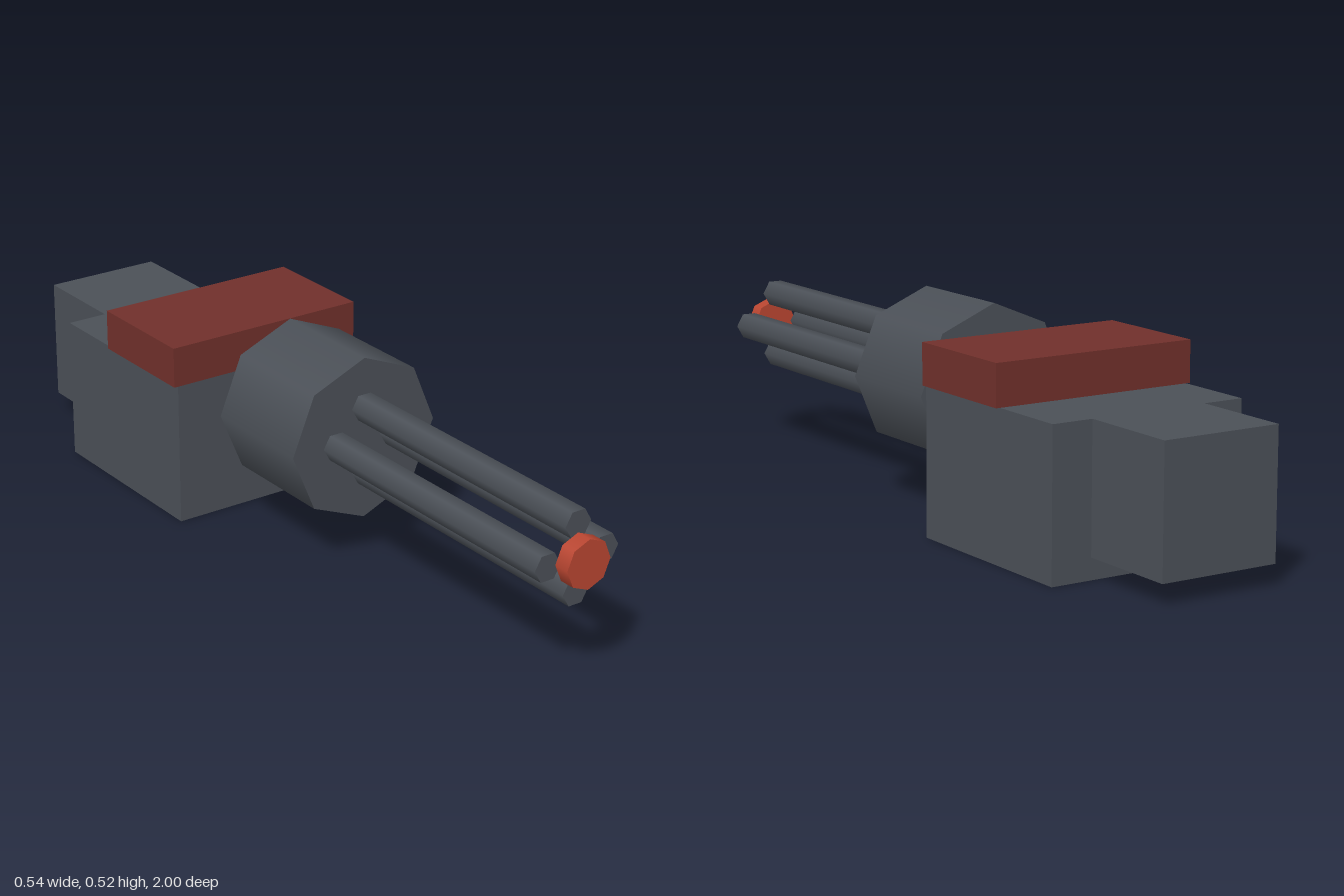
import * as THREE from 'three';

const steel = new THREE.MeshStandardMaterial({ color: 0x4b5057 });
const darkRed = new THREE.MeshStandardMaterial({ color: 0x70302b });
const brightRed = new THREE.MeshStandardMaterial({ color: 0xba4631 });

const AXIS_Y = 0.31; // height of the barrel axis

export function createModel() {
  const model = new THREE.Group();
  model.name = 'rotaryGun';

  const add = (name, geometry, material) => {
    const mesh = new THREE.Mesh(geometry, material);
    mesh.name = name;
    model.add(mesh);
    return mesh;
  };

  // Box centred on x, given by its width and its y and z ranges
  const box = (name, width, y0, y1, z0, z1, material) =>
    add(name, new THREE.BoxGeometry(width, y1 - y0, z1 - z0), material)
      .position.set(0, (y0 + y1) / 2, (z0 + z1) / 2);

  // Prism along z with smooth sides; turn sets where its corners fall
  const rod = (name, radius, sides, x, y, z0, z1, turn, material) => {
    const geometry = new THREE.CylinderGeometry(radius, radius, z1 - z0, sides);
    geometry.rotateY(turn).rotateX(Math.PI / 2);
    add(name, geometry, material).position.set(x, y, (z0 + z1) / 2);
  };

  // Receiver, rear block and top cover
  box('receiver', 0.516, 0, 0.363, -0.74, -0.227, steel);
  box('rearBlock', 0.306, 0.052, 0.363, -1, -0.74, steel);
  box('topCover', 0.537, 0.363, 0.465, -0.535, -0.227, darkRed);

  // Octagonal hub, floating in front of the receiver
  rod('barrelHub', 0.206, 8, 0, AXIS_Y, -0.12, 0.185, 0, steel);

  // Four hexagonal barrels around the axis
  for (let i = 0; i < 4; i++) {
    const a = (i * Math.PI) / 2;
    rod('barrel' + (i + 1), 0.036, 6, 0.082 * Math.cos(a), AXIS_Y + 0.082 * Math.sin(a),
      0.185, 0.96, Math.PI / 2, steel);
  }

  // Muzzle disc
  rod('muzzleDisc', 0.061, 8, 0, AXIS_Y, 0.96, 1, 0, brightRed);

  return model;
}
